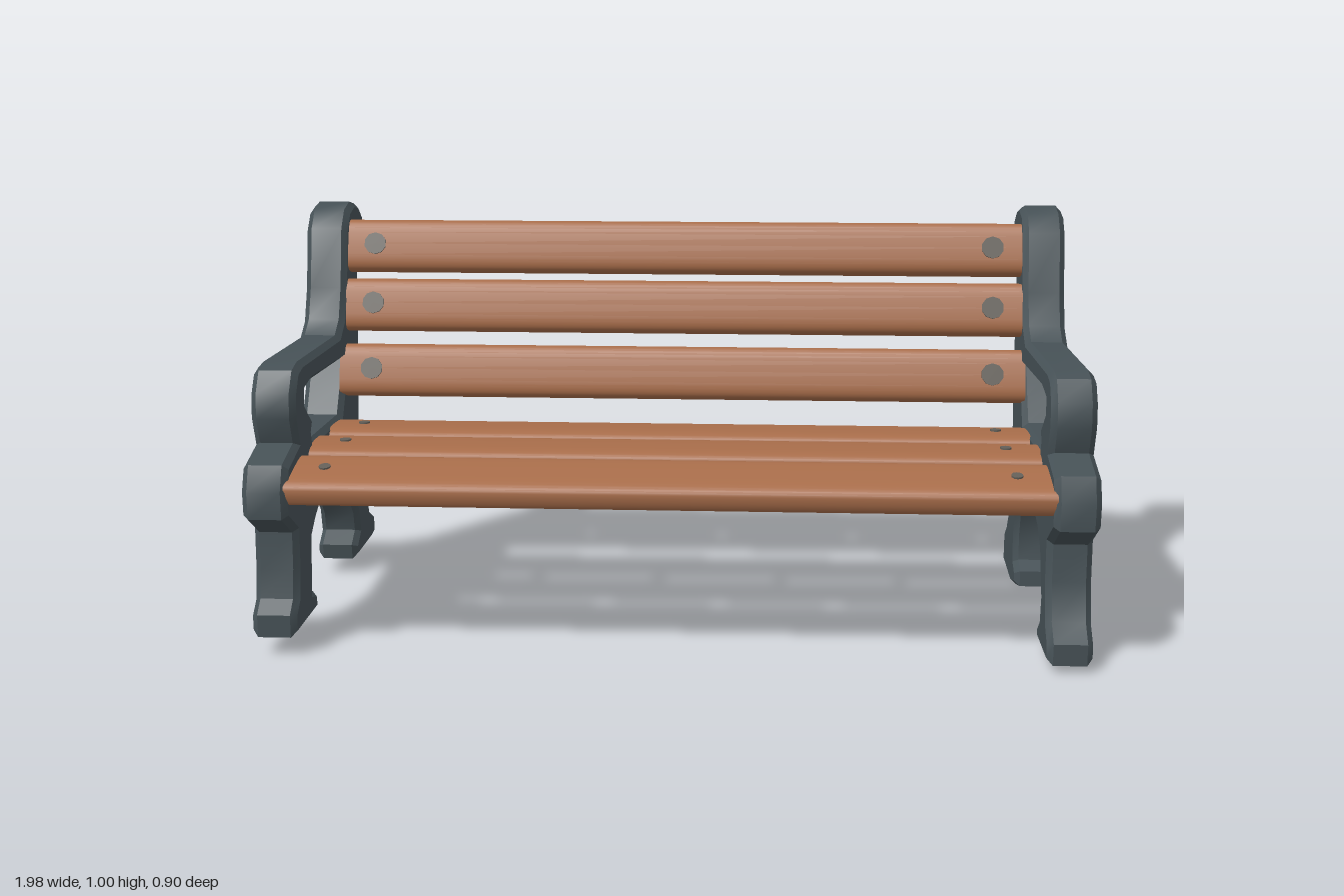
import * as THREE from 'three';
import { toCreasedNormals } from 'three/addons/utils/BufferGeometryUtils.js';

const iron = new THREE.MeshStandardMaterial({ color: 0x465156 });
iron.name = 'cast iron';
const wood = new THREE.MeshStandardMaterial({ color: 0xa86d4a });
wood.name = 'wood';
const boltMetal = new THREE.MeshStandardMaterial({ color: 0x635f58 });
boltMetal.name = 'bolt metal';

const toPoints = (list) => list.map(([z, y]) => new THREE.Vector2(z, y));

// Extrudes a (z, y) shape along x, centred on x = 0
function extrudeAlongX(shape, width, bevel, crease) {
  const depth = width - 2 * bevel;
  const geo = new THREE.ExtrudeGeometry(shape, {
    depth, bevelEnabled: bevel > 0, bevelThickness: bevel, bevelSize: bevel,
    bevelOffset: -bevel, bevelSegments: 1,
  });
  geo.translate(0, 0, -depth / 2);
  geo.rotateY(-Math.PI / 2);
  return toCreasedNormals(geo, crease);
}

// Side frame outlines, as (z, y) points
const upper = [
  [0.365, 0.29], [0.45, 0.345], [0.452, 0.41], [0.425, 0.47], [0.32, 0.498],
  [0.342, 0.56], [0.335, 0.62], [0.3, 0.67], [0.25, 0.682], [-0.13, 0.676],
  [-0.18, 0.71], [-0.215, 0.79], [-0.25, 0.94], [-0.29, 0.985], [-0.35, 1.0],
  [-0.4, 0.99], [-0.446, 0.955], [-0.446, 0.9], [-0.43, 0.87], [-0.367, 0.84],
  [-0.335, 0.55], [-0.31, 0.405],
];
const armOpening = [
  [0.17, 0.617], [-0.195, 0.606], [-0.155, 0.53], [-0.115, 0.468], [0.185, 0.474],
  [0.19, 0.495], [0.17, 0.523], [0.205, 0.55], [0.24, 0.58], [0.235, 0.605],
];
const legsLeft = [
  [-0.295, 0.3], [-0.305, 0.19], [-0.34, 0.135], [-0.382, 0.1], [-0.38, 0.015],
  [-0.22, 0.0], [-0.138, 0.02], [-0.14, 0.06], [-0.18, 0.08], [-0.19, 0.14],
  [-0.17, 0.22], [-0.13, 0.28], [-0.08, 0.292], [0.14, 0.295], [0.2, 0.275], [0.25, 0.24],
  [0.3, 0.14], [0.295, 0.085], [0.26, 0.055], [0.26, 0.022], [0.44, 0.018],
  [0.44, 0.07], [0.395, 0.11], [0.37, 0.2],
];
const legsRight = [
  [-0.39, 0.135], [-0.448, 0.105], [-0.452, 0.048], [-0.4, 0.04], [-0.22, 0.04],
  [-0.215, 0.08], [-0.26, 0.11], [-0.25, 0.16], [-0.19, 0.23], [-0.13, 0.28],
  [-0.08, 0.292], [0.14, 0.295], [0.19, 0.27], [0.23, 0.24], [0.25, 0.105],
  [0.205, 0.09], [0.205, 0.045], [0.42, 0.045], [0.42, 0.1], [0.385, 0.13], [0.37, 0.2],
];

function sideFrame(name, legs, x) {
  const shape = new THREE.Shape(toPoints([...upper, ...legs]));
  shape.holes.push(new THREE.Path(toPoints(armOpening)));
  const mesh = new THREE.Mesh(extrudeAlongX(shape, 0.107, 0.014, 0.6), iron);
  mesh.name = name;
  mesh.position.x = x;
  return mesh;
}

// Softly crowned slat: local y is its width, local +z its face
function slatGeometry(width, thickness) {
  const pts = [];
  const soft = (v) => Math.sign(v) * Math.abs(v) ** 0.55;
  for (let i = 0; i < 28; i++) {
    const a = (i / 28) * Math.PI * 2;
    pts.push(new THREE.Vector2(soft(Math.cos(a)) * thickness / 2, soft(Math.sin(a)) * width / 2));
  }
  return extrudeAlongX(new THREE.Shape(pts), 1.79, 0, 0.7);
}

function slat(name, width, thickness, y, z, tilt, boltRadius, boltSides) {
  const group = new THREE.Group();
  group.name = name;
  const board = new THREE.Mesh(slatGeometry(width, thickness), wood);
  board.name = name + 'Board';
  group.add(board);
  // Bolt heads near both ends
  const disc = new THREE.CylinderGeometry(boltRadius, boltRadius, 0.008, 10).rotateX(Math.PI / 2);
  for (const x of [-0.81, 0.81]) {
    for (const side of boltSides) {
      const bolt = new THREE.Mesh(disc, boltMetal);
      bolt.name = 'bolt';
      bolt.position.set(x, 0, side * thickness / 2);
      group.add(bolt);
    }
  }
  group.position.set(-0.006, y, z);
  group.rotation.x = tilt;
  return group;
}

export function createModel() {
  const bench = new THREE.Group();
  bench.name = 'parkBench';
  bench.add(sideFrame('leftSideFrame', legsLeft, 0.934));
  bench.add(sideFrame('rightSideFrame', legsRight, -0.942));

  // Seat: the front slat tips forward
  const flat = -Math.PI / 2;
  [[0.418, 0.358, flat + 0.22], [0.43, 0.152, flat], [0.425, -0.055, flat - 0.04]]
    .forEach(([y, z, tilt], i) => bench.add(slat('seatSlat' + (i + 1), 0.172, 0.07, y, z, tilt, 0.014, [1])));

  // Backrest: leaning slats
  [[0.572, -0.197], [0.738, -0.247], [0.888, -0.297]]
    .forEach(([y, z], i) => bench.add(slat('backSlat' + (i + 1), 0.137, 0.072, y, z, -0.33, 0.029, [1, -1])));

  return bench;
}
